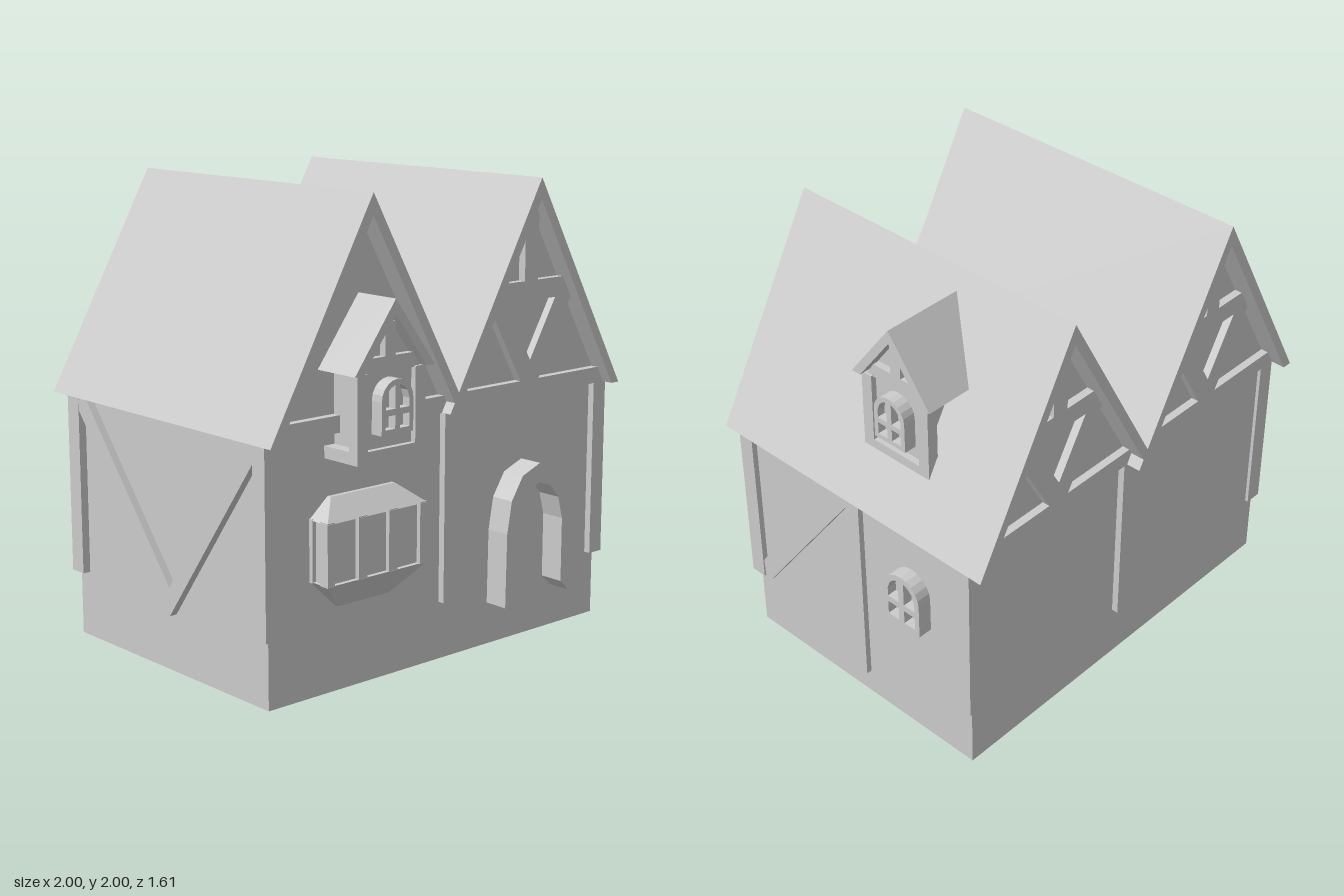
import * as THREE from 'three';

const mat = new THREE.MeshStandardMaterial({ color: 0xcccccc, flatShading: true, side: THREE.DoubleSide });
const poly = (pts) => pts.map(([x, y]) => new THREE.Vector2(x, y));

function add(parent, name, geometry) {
  const mesh = new THREE.Mesh(geometry, mat);
  mesh.name = name;
  parent.add(mesh);
  return mesh;
}

function group(parent, name, x = 0, y = 0, z = 0, turn = 0) {
  const g = new THREE.Group();
  g.name = name;
  g.position.set(x, y, z);
  g.rotation.y = turn;
  parent.add(g);
  return g;
}

// Box given by its limits
function box(parent, name, x0, x1, y0, y1, z0, z1) {
  const g = new THREE.BoxGeometry(x1 - x0, y1 - y0, z1 - z0);
  g.translate((x0 + x1) / 2, (y0 + y1) / 2, (z0 + z1) / 2);
  return add(parent, name, g);
}

// Outline in x, y extruded from z0 to z1
function prism(parent, name, outline, z0, z1, holes = []) {
  const shape = outline instanceof THREE.Shape ? outline : new THREE.Shape(poly(outline));
  shape.holes = holes.map((h) => (h instanceof THREE.Path ? h : new THREE.Path(poly(h))));
  const g = new THREE.ExtrudeGeometry(shape, { depth: z1 - z0, bevelEnabled: false, curveSegments: 5 });
  g.translate(0, 0, z0);
  return add(parent, name, g);
}

// Folded roof sheet with an open underside
const chevron = (half, eave, apex, innerHalf, innerApex) => [
  [-half, eave], [-innerHalf, eave], [0, innerApex], [innerHalf, eave], [half, eave], [0, apex]];

// Arched window: frame with four panes, standing on the local origin
function archedWindow(parent, x, y, z, scale, depth) {
  const w = group(parent, 'archedWindow', x, y, z);
  w.scale.set(scale, scale, 1);
  const arch = () => {
    const s = new THREE.Shape();
    s.moveTo(-0.1, 0);
    s.lineTo(0.1, 0);
    s.lineTo(0.1, 0.16);
    s.absarc(0, 0.16, 0.1, 0, Math.PI, false);
    return s;
  };
  const holes = [];
  for (const s of [-1, 1]) {
    holes.push([[s * 0.015, 0.025], [s * 0.075, 0.025], [s * 0.075, 0.09], [s * 0.015, 0.09]]);
    holes.push([[s * 0.015, 0.12], [s * 0.075, 0.12], [s * 0.075, 0.16], [s * 0.062, 0.2],
      [s * 0.04, 0.222], [s * 0.015, 0.232]]);
  }
  prism(w, 'windowFrame', arch(), 0, depth, holes);
  prism(w, 'windowPane', arch(), 0, depth * 0.4);
}

// Dormer facing local +z; z = 0 is the front edge of its roof
function dormer(parent, name, x, y, z, turn, depth) {
  const d = group(parent, name, x, y, z, turn);
  box(d, 'dormerBody', -0.126, 0.126, 0.04, 0.36, -depth, -0.045);
  box(d, 'dormerSill', -0.178, 0.178, 0, 0.05, -depth, -0.07);
  prism(d, 'dormerFrame', [[-0.178, 0], [0.178, 0], [0.178, 0.355], [0.125, 0.355], [0.125, 0.05],
    [-0.125, 0.05], [-0.125, 0.355], [-0.178, 0.355]], -0.07, -0.02);
  prism(d, 'dormerGable', [[-0.165, 0.35], [0.165, 0.35], [0, 0.585]], -depth, -0.06);
  prism(d, 'dormerTie', [[-0.16, 0.35], [0.16, 0.35], [0.12, 0.41], [-0.12, 0.41]], -0.06, -0.03);
  box(d, 'dormerPost', -0.027, 0.027, 0.41, 0.545, -0.06, -0.03);
  prism(d, 'dormerRoof', chevron(0.21, 0.355, 0.635, 0.165, 0.575), -depth, 0);
  archedWindow(d, 0, 0.11, -0.05, 0.83, 0.062);
}

// Gable timbers on local +z at distance z, centred on local x
function gableTimbers(parent, x, z, braced) {
  const g = group(parent, 'gableTimbers', x, 0, z);
  prism(g, 'tieBeam', [[-0.475, 1.07], [0.475, 1.07], [0.44, 1.14], [-0.44, 1.14]], -0.01, 0.035);
  if (!braced) return;
  prism(g, 'collarAndBraces', [[-0.055, 1.14], [0.055, 1.14], [0.249, 1.475], [0.198, 1.565],
    [-0.198, 1.565], [-0.249, 1.475]], -0.01, 0.035, [[[-0.15, 1.48], [0.15, 1.48], [0, 1.225]]]);
  prism(g, 'kingPost', [[-0.04, 1.56], [0.04, 1.56], [0.04, 1.84], [0, 1.91], [-0.04, 1.84]], -0.01, 0.035);
}

// Solid through rectangular levels [halfWidth, y, front z], with a flat back
function loft(parent, name, x, back, levels) {
  const p = [], idx = [0, 1, 2, 0, 2, 3];
  for (const [h, y, f] of levels) p.push(x - h, y, back, x + h, y, back, x + h, y, f, x - h, y, f);
  for (let l = 0; l < levels.length - 1; l++)
    for (let k = 0; k < 4; k++) {
      const a = l * 4 + k, b = l * 4 + (k + 1) % 4;
      idx.push(a, a + 4, b, b, a + 4, b + 4);
    }
  const t = levels.length * 4 - 4;
  idx.push(t, t + 2, t + 1, t, t + 3, t + 2);
  const g = new THREE.BufferGeometry();
  g.setAttribute('position', new THREE.Float32BufferAttribute(p, 3));
  g.setIndex(idx);
  const flat = g.toNonIndexed();
  flat.computeVertexNormals();
  return add(parent, name, flat);
}

export function createModel() {
  const house = new THREE.Group();
  house.name = 'house';
  const X0 = -0.95, X1 = 0.935, Z0 = -0.71, Z1 = 0.575;
  box(house, 'walls', X0, X1, 0, 1.08, Z0, Z1);

  // Twin roofs with gables front and back
  const back = group(house, 'backTimbers', 0, 0, 0, Math.PI);
  for (const cx of [-0.48, 0.465]) {
    const r = group(house, 'roofBay', cx);
    prism(r, 'roof', chevron(0.52, 1.07, 2, 0.475, 1.91), -0.81, 0.66);
    prism(r, 'gableWall', [[-0.477, 1.07], [0.477, 1.07], [0, 1.915]], Z0, Z1);
    gableTimbers(house, cx, Z1, cx > 0);
    gableTimbers(back, -cx, -Z0, true);
  }

  // Corner posts and middle posts
  for (const [z0, z1] of [[0.53, 0.605], [-0.725, -0.645]]) {
    box(house, 'cornerPost', -0.985, -0.905, 0.29, 1.08, z0, z1);
    box(house, 'cornerPost', 0.885, 0.96, 0.29, 1.08, z0, z1);
  }
  box(house, 'frontMiddlePost', -0.03, 0.05, 0.25, 1.12, 0.54, 0.605);
  box(house, 'backMiddlePost', -0.03, 0.05, 0.25, 1.12, -0.74, -0.68);

  // Side at +x: local x runs toward -z
  const plus = group(house, 'leftSide', X1, 0, 0, Math.PI / 2);
  box(plus, 'sidePost', 0.035, 0.112, 0.12, 1.08, -0.02, 0.025);
  prism(plus, 'sideBrace', [[-0.525, 0.29], [-0.49, 0.29], [0.035, 1.0], [0.035, 1.08], [-0.02, 1.08],
    [-0.53, 0.38]], -0.02, 0.02);
  archedWindow(plus, 0.385, 0.6, -0.01, 1, 0.075);

  // Side at -x: V brace, local x runs toward +z
  const minus = group(house, 'rightSide', X0, 0, 0, -Math.PI / 2);
  prism(minus, 'vBrace', [[-0.02, 0.25], [0.53, 0.99], [0.53, 1.08], [0.5, 1.08], [-0.02, 0.37],
    [-0.6, 1.08], [-0.645, 1.08], [-0.645, 1.01]], -0.02, 0.033);

  // Dormers
  dormer(house, 'frontDormer', -0.482, 0.97, 0.79, 0, 0.22);
  dormer(house, 'sideDormer', 0.88, 1.285, -0.245, Math.PI / 2, 0.38);

  // Bay window
  const bx = -0.472;
  const bay = group(house, 'bayWindow');
  loft(bay, 'bayBase', bx, 0.56, [[0.135, 0.36, 0.595], [0.267, 0.485, 0.685]]);
  loft(bay, 'bayRoof', bx, 0.56, [[0.267, 0.735, 0.685], [0.172, 0.815, 0.595]]);
  box(bay, 'bayGlass', bx - 0.25, bx + 0.25, 0.48, 0.74, 0.56, 0.665);
  for (const s of [-1, 1]) {
    const bar = (name, a, b) => box(bay, name, bx + Math.min(s * a, s * b), bx + Math.max(s * a, s * b),
      0.48, 0.74, 0.64, 0.684);
    bar('bayCornerPost', 0.228, 0.266);
    bar('bayMullion', 0.058, 0.104);
    box(bay, 'bayWallPost', bx + s * 0.2585 - 0.0085, bx + s * 0.2585 + 0.0085, 0.48, 0.74, 0.56, 0.595);
  }

  // Door arch, mirrored half outlines
  const outer = [[0.2, 0.185], [0.195, 0.51], [0.17, 0.65], [0.105, 0.75]];
  const inner = [[0.147, 0.235], [0.147, 0.52], [0.12, 0.62], [0.07, 0.68]];
  const flip = (pts) => pts.map(([x, y]) => [-x, y]);
  const arch = prism(house, 'doorArch', [...outer, [0, 0.79], ...flip(outer).reverse(),
    ...flip(inner), [0, 0.705], ...[...inner].reverse()], 0.56, 0.685);
  arch.position.x = 0.46;
  return house;
}
